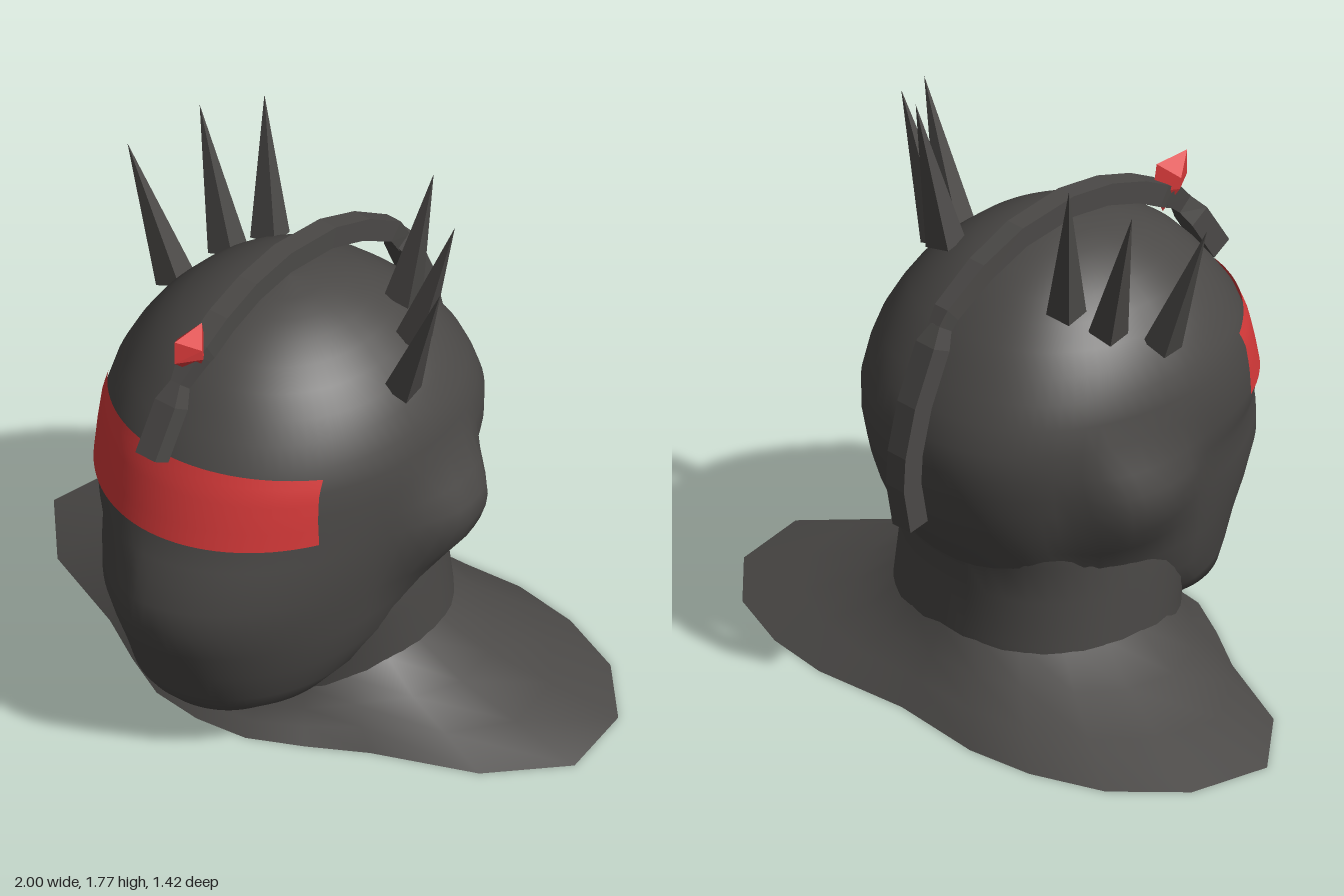
import * as THREE from 'three';
import { ConvexGeometry } from 'three/addons/geometries/ConvexGeometry.js';

const dark = new THREE.MeshStandardMaterial({ color: 0x4b4947 });
dark.name = 'charcoal';
dark.side = THREE.DoubleSide;
const red = new THREE.MeshStandardMaterial({ color: 0xd83a3a });
red.name = 'red';
red.side = THREE.DoubleSide;

const V = (x, y, z) => new THREE.Vector3(x, y, z);
const step = THREE.MathUtils.smoothstep;

// Skin a list of rings; each ring runs counter-clockwise about the loft direction
function loft(rings, { closed = true, caps = false, flat = false } = {}) {
  const n = rings[0].length, pos = [], idx = [];
  rings.forEach(r => r.forEach(p => pos.push(p.x, p.y, p.z)));
  for (let i = 0; i < rings.length - 1; i++) {
    for (let j = 0; j < (closed ? n : n - 1); j++) {
      const k = (j + 1) % n;
      const a = i * n + j, b = i * n + k, c = a + n, d = b + n;
      idx.push(a, b, c, b, d, c);
    }
  }
  if (caps) {
    [0, rings.length - 1].forEach(i => {
      const mid = V(0, 0, 0);
      rings[i].forEach(p => mid.addScaledVector(p, 1 / n));
      const m = pos.length / 3;
      pos.push(mid.x, mid.y, mid.z);
      for (let j = 0; j < n; j++) {
        const a = i * n + j, b = i * n + (j + 1) % n;
        if (i === 0) idx.push(m, b, a); else idx.push(m, a, b);
      }
    });
  }
  let g = new THREE.BufferGeometry();
  g.setAttribute('position', new THREE.Float32BufferAttribute(pos, 3));
  g.setIndex(idx);
  if (flat) g = g.toNonIndexed();
  g.computeVertexNormals();
  return g;
}

// Head sections: height, front z, back z, half width
const headSections = [
  [0.09, 0.40, 0.28, 0.08], [0.12, 0.49, 0.10, 0.21], [0.18, 0.55, -0.08, 0.31],
  [0.24, 0.60, -0.25, 0.36], [0.34, 0.64, -0.42, 0.41], [0.44, 0.68, -0.475, 0.435],
  [0.54, 0.715, -0.54, 0.455], [0.62, 0.705, -0.575, 0.475], [0.70, 0.685, -0.60, 0.49],
  [0.76, 0.66, -0.61, 0.50], [0.83, 0.63, -0.62, 0.51], [0.92, 0.605, -0.615, 0.515],
  [1.00, 0.58, -0.58, 0.51], [1.07, 0.55, -0.545, 0.49], [1.14, 0.50, -0.495, 0.455],
  [1.20, 0.455, -0.45, 0.415], [1.26, 0.40, -0.385, 0.36], [1.31, 0.335, -0.325, 0.30],
  [1.35, 0.265, -0.255, 0.235], [1.38, 0.19, -0.18, 0.17], [1.40, 0.11, -0.11, 0.10],
  [1.41, 0.01, -0.01, 0.01],
];

// Point on a section: elliptical in front, slightly squarer behind
function sectionPoint([y, f, b, w], a, out = 0) {
  const s = Math.sin(a), c = Math.cos(a), e = c < 0 ? 0.89 : 1;
  return V(0.006 + (w + out) * Math.sign(s) * Math.abs(s) ** e, y,
    (f + b) / 2 + ((f - b) / 2 + out) * Math.sign(c) * Math.abs(c) ** e);
}
const ellipseRing = (s, n) =>
  Array.from({ length: n }, (_, j) => sectionPoint(s, j / n * Math.PI * 2));

function sectionAt(y) {
  const i = Math.max(1, headSections.findIndex(s => s[0] >= y));
  const p = headSections[i - 1], q = headSections[i], t = (y - p[0]) / (q[0] - p[0]);
  return p.map((v, k) => v + (q[k] - v) * t);
}

// Head skin: ear swellings that drop off steeply behind, and a flatter right cheek
function headGeometry() {
  const n = 80;
  const rings = headSections.map(s => ellipseRing(s, n));
  rings.forEach(ring => ring.forEach((p, j) => {
    const along = step(p.z, -0.36, -0.25) * (1 - step(p.z, -0.15, 0.16));
    const up = step(p.y, 0.38, 0.68) * (1 - step(p.y, 0.7, 0.94));
    p.x += (j < n / 2 ? 0.112 : -0.085) * along * up;
    const cheek = Math.sin(j / n * Math.PI * 4);
    if (j > n * 0.75) {
      const inset = -0.032 * cheek * step(p.y, 0.1, 0.3) * (1 - step(p.y, 0.68, 0.83));
      p.x += inset;
      p.z -= inset;
    }
  }));
  return loft(rings, { caps: true });
}

// Curved visor plate hugging the brow
function visorGeometry() {
  const rings = [];
  for (let i = 0; i <= 8; i++) {
    const ring = [];
    for (let j = 0; j <= 32; j++) {
      const u = j / 32 * 2 - 1;
      const y = 0.83 + (0.24 - 0.025 * u * u) * i / 8;
      const s = sectionAt(y);
      ring.push(sectionPoint(s, Math.asin((0.42 - 0.014 * i / 8) / s[3]) * u, 0.008));
    }
    rings.push(ring);
  }
  return loft(rings, { closed: false });
}

// Shoulder drape: collar ring flaring to a wide hem lying on the ground
function shoulderGeometry() {
  const half = [[0, 0.41], [0.17, 0.39], [0.33, 0.31], [0.5, 0.21], [0.81, 0.08], [1, -0.13],
    [0.95, -0.39], [0.77, -0.57], [0.54, -0.66], [0.32, -0.69], [0, -0.66]];
  const hem = [...half, ...half.slice(1, -1).reverse().map(([x, z]) => [-x, z])];
  const collar = hem.map((_, j) => {
    const a = j / hem.length * Math.PI * 2;
    const z = -0.09 + 0.4 * Math.cos(a);
    return V(0.012 + 0.43 * Math.sin(a), 0.215 - 0.11 * Math.max(0, z / 0.31) ** 1.3, z);
  });
  const rings = [[0, 0], [0.27, 0.4], [0.62, 0.68], [1, 1]].map(([t, drop]) =>
    hem.map(([x, z], j) => V(
      collar[j].x + (x - collar[j].x) * t,
      collar[j].y * (1 - drop),
      collar[j].z + (z - collar[j].z) * t)));
  return loft(rings.reverse());
}

// Square bar following [z, y, halfWidth, halfThickness] points from front to back
function barGeometry(path, x = -0.013) {
  const rings = path.map(([z, y, w, h], i) => {
    const p = path[Math.max(0, i - 1)], q = path[Math.min(path.length - 1, i + 1)];
    const t = V(0, q[1] - p[1], q[0] - p[0]).normalize();
    const n = V(1, 0, 0).cross(t);
    return [[1, 1], [-1, 1], [-1, -1], [1, -1]].map(([a, b]) =>
      V(x + b * w, y, z).addScaledVector(n, a * h));
  });
  return loft(rings, { caps: true, flat: true });
}

// Four-sided spike from base centre to tip
function spikeGeometry(base, tip) {
  const dir = tip.clone().sub(base);
  const g = new THREE.ConeGeometry(0.06, dir.length(), 4, 1).toNonIndexed();
  g.rotateY(Math.PI / 4 + 0.15);
  g.translate(0, dir.length() / 2, 0);
  g.computeVertexNormals();
  g.applyQuaternion(new THREE.Quaternion().setFromUnitVectors(V(0, 1, 0), dir.normalize()));
  return g.translate(base.x, base.y, base.z);
}

// Faceted gem: five-sided outline seen from the side, ridged on both flanks
function gemGeometry() {
  const x = -0.013;
  const rim = [[0.495, 1.44], [0.37, 1.44], [0.355, 1.35], [0.395, 1.27], [0.495, 1.36]];
  const points = rim.map(([z, y]) => V(x, y, z));
  for (const side of [-0.047, 0.047]) points.push(V(x + side, 1.39, 0.425), V(x + side, 1.355, 0.42));
  return new ConvexGeometry(points);
}

export function createModel() {
  const model = new THREE.Group();
  model.name = 'spikedHelmetBust';
  const add = (name, geometry, material = dark) => {
    const mesh = new THREE.Mesh(geometry, material);
    mesh.name = name;
    model.add(mesh);
  };

  add('head', headGeometry());
  add('neck', loft([[0.08, 0.305, -0.49, 0.432], [0.22, 0.32, -0.49, 0.432],
    [0.36, 0.36, -0.47, 0.432], [0.48, 0.4, -0.485, 0.43],
    [0.58, 0.4, -0.53, 0.42]].map(s => ellipseRing(s, 40))));
  add('shoulders', shoulderGeometry());
  add('visor', visorGeometry(), red);

  // Crown spikes, three per side
  const spikes = [
    [[0.43, 1.19, -0.02], [0.6, 1.63, 0.01]],
    [[0.35, 1.255, -0.165], [0.49, 1.71, -0.19]],
    [[0.25, 1.31, -0.24], [0.325, 1.77, -0.29]],
  ];
  for (const side of [-1, 1]) {
    spikes.forEach(([b, t], i) => {
      const drop = side < 0 ? 0.025 : 0;
      const shift = side < 0 ? 0.012 : 0;
      add((side > 0 ? 'leftSpike' : 'rightSpike') + (i + 1), spikeGeometry(
        V(side * b[0] - shift, b[1] - drop, b[2]), V(side * t[0], t[1] - drop, t[2])));
    });
  }

  // Crest in three jointed sections over the middle of the head
  add('crestFront', barGeometry([[0.6, 1.075, 0.038, 0.036], [0.51, 1.22, 0.038, 0.036],
    [0.47, 1.27, 0.018, 0.03], [0.4, 1.34, 0.036, 0.036]]));
  add('crestTop', barGeometry([[0.44, 1.3, 0.02, 0.03], [0.37, 1.345, 0.034, 0.035],
    [0.28, 1.395, 0.034, 0.035], [0.15, 1.44, 0.033, 0.035], [0, 1.46, 0.033, 0.035],
    [-0.2, 1.435, 0.032, 0.035], [-0.35, 1.375, 0.03, 0.035], [-0.49, 1.285, 0.027, 0.033],
    [-0.54, 1.21, 0.018, 0.03]]));
  add('crestBack', barGeometry([[-0.52, 1.25, 0.018, 0.03], [-0.555, 1.2, 0.038, 0.036],
    [-0.63, 1.03, 0.038, 0.036], [-0.668, 0.88, 0.038, 0.036],
    [-0.674, 0.78, 0.038, 0.036], [-0.647, 0.635, 0.038, 0.036]], -0.022));
  add('gem', gemGeometry(), red);

  return model;
}
